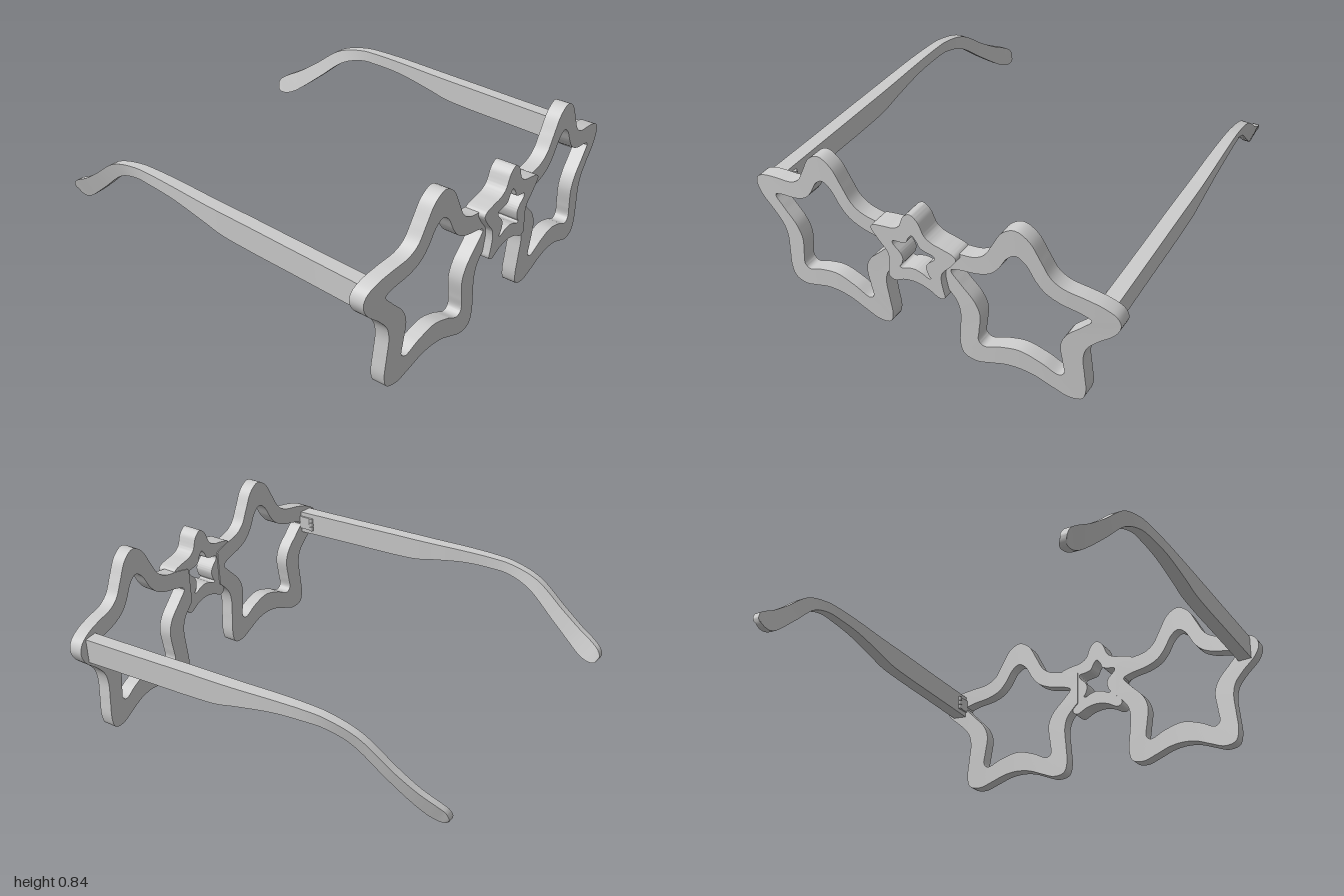
import * as THREE from 'three';
import { toCreasedNormals } from 'three/addons/utils/BufferGeometryUtils.js';

const material = new THREE.MeshStandardMaterial({ color: 0xcccccc });

function addMesh(parent, name, geometry) {
  const mesh = new THREE.Mesh(geometry, material);
  mesh.name = name;
  parent.add(mesh);
}

// Skin over four-cornered cross-sections, either joined in a ring or capped at both ends
function loft(sections, ring) {
  const n = sections.length;
  const index = [];
  for (let i = 0; i < (ring ? n : n - 1); i++) {
    for (let k = 0; k < 4; k++) {
      const next = ((i + 1) % n) * 4;
      const a = i * 4 + k, b = i * 4 + (k + 1) % 4;
      const c = next + (k + 1) % 4, d = next + k;
      index.push(a, b, c, a, c, d);
    }
  }
  if (!ring) {
    const e = (n - 1) * 4;
    index.push(0, 3, 2, 0, 2, 1, e, e + 1, e + 2, e, e + 2, e + 3);
  }
  const geometry = new THREE.BufferGeometry().setFromPoints(sections.flat());
  geometry.setIndex(index);
  return toCreasedNormals(geometry, 0.6);
}

// Closed smooth outline from the right half of a shape, mirrored about x = 0
function outline(half) {
  const left = half.slice(1, -1).reverse().map(([x, y]) => [-x, y]);
  const pts = [...half, ...left].map(([x, y]) => new THREE.Vector3(x, y, 0));
  const curve = new THREE.CatmullRomCurve3(pts, true, 'centripetal');
  curve.arcLengthDivisions = 1500;
  return curve.getSpacedPoints(200).slice(0, -1);
}

// Star-shaped ring between two outlines; place() sets each corner in the model
function starRing(outer, inner, depth, place) {
  const holes = outline(inner);
  const sections = outline(outer).map((o, i) => {
    const h = holes[i];
    return [[o, depth], [h, depth], [h, 0], [o, 0]]
      .map(([p, z]) => place(new THREE.Vector3(p.x, p.y, z)));
  });
  return loft(sections, true);
}

// Large star rims
const RIM_OUTER = [[0, .843], [.06, .81], [.11, .725], [.15, .655], [.2, .62], [.3, .6],
  [.375, .58], [.43, .548], [.447, .505], [.425, .45], [.35, .38], [.305, .325],
  [.29, .265], [.297, .165], [.303, .065], [.285, .013], [.225, 0], [.15, .026],
  [.075, .055], [0, .065]];
const RIM_INNER = [[0, .71], [.04, .685], [.085, .61], [.125, .565], [.185, .535], [.29, .51],
  [.325, .49], [.285, .44], [.215, .365], [.19, .3], [.2, .195], [.205, .135],
  [.18, .115], [.1, .15], [0, .175]];

// Small star over the bridge
const BRIDGE_OUTER = [[0, .75], [.035, .725], [.065, .66], [.1, .637], [.15, .627], [.205, .612],
  [.216, .595], [.185, .545], [.14, .488], [.133, .445], [.14, .39], [.145, .35],
  [.12, .336], [.06, .364], [0, .375]];
const BRIDGE_INNER = [[0, .635], [.02, .615], [.035, .585], [.06, .575], [.105, .565],
  [.105, .55], [.07, .512], [.06, .487], [.07, .447], [.08, .433], [.07, .427],
  [.035, .442], [0, .449]];

// Temple stations: top z, top y, bottom z, bottom y, inner x, outer x, inward lean of the bottom
const TEMPLE = [
  [.865, .558, .865, .438, .815, .886, 0],
  [.5, .571, .5, .453, .812, .88, 0],
  [.25, .581, .25, .463, .809, .876, 0],
  [.1, .586, .1, .475, .808, .874, 0],
  [0, .59, 0, .498, .808, .872, 0],
  [-.2, .6, -.2, .536, .807, .865, 0],
  [-.35, .603, -.35, .545, .805, .858, .002],
  [-.45, .598, -.44, .543, .802, .853, .005],
  [-.604, .555, -.565, .502, .79, .842, .012],
  [-.765, .438, -.72, .378, .768, .824, .018],
  [-.87, .367, -.82, .297, .752, .806, .02],
  [-.95, .323, -.89, .247, .736, .789, .02],
  [-.985, .298, -.94, .228, .727, .778, .018],
  [-1, .27, -.975, .23, .724, .772, .015],
  [-.998, .253, -.99, .24, .728, .766, .01],
];

// Four rails along the edges of the arm, joined into cross-sections
function temple(side) {
  const rails = [
    ([tz, ty, , , a, , lean]) => [a + lean, ty, tz],
    ([tz, ty, , , , b]) => [b, ty, tz],
    ([, , bz, by, , b, lean]) => [b - lean, by, bz],
    ([, , bz, by, a]) => [a, by, bz],
  ].map(corner => new THREE.CatmullRomCurve3(TEMPLE.map(row => {
    const [x, y, z] = corner(row);
    return new THREE.Vector3(side * x, y, z);
  })).getPoints(112));
  if (side < 0) rails.reverse();
  return loft(rails[0].map((_, i) => rails.map(rail => rail[i])), false);
}

export function createModel() {
  const model = new THREE.Group();
  model.name = 'starGlasses';

  for (const side of [1, -1]) {
    const label = side > 0 ? 'left' : 'right';

    // Rim, leaning forward at the top, wrapping to the side, cut off behind the bridge star
    addMesh(model, label + 'StarRim', starRing(RIM_OUTER, RIM_INNER, .07, v => {
      const x = Math.max(.115, .485 + side * v.x);
      v.x = side * x;
      v.z += .87 + .037 * v.y - .122 * (x - .3) ** 2;
      return v;
    }));

    // Temple arm, curving inward behind the ear
    addMesh(model, label + 'Temple', temple(side));

    // Hinge knuckles and leaf on the inner side
    const hinge = new THREE.Group();
    hinge.name = label + 'Hinge';
    for (const y of [.475, .5, .525]) {
      const knuckle = new THREE.CylinderGeometry(.012, .012, .022, 16);
      addMesh(hinge, 'hingeKnuckle', knuckle.translate(side * .812, y, .785));
    }
    const leaf = new THREE.BoxGeometry(.012, .07, .075);
    addMesh(hinge, 'hingeLeaf', leaf.translate(side * .812, .5, .82));
    model.add(hinge);
  }

  // Bridge star, standing proud of both rims
  addMesh(model, 'bridgeStar', starRing(BRIDGE_OUTER, BRIDGE_INNER, .1, v => {
    v.z += .873 + .035 * v.y;
    return v;
  }));

  return model;
}
